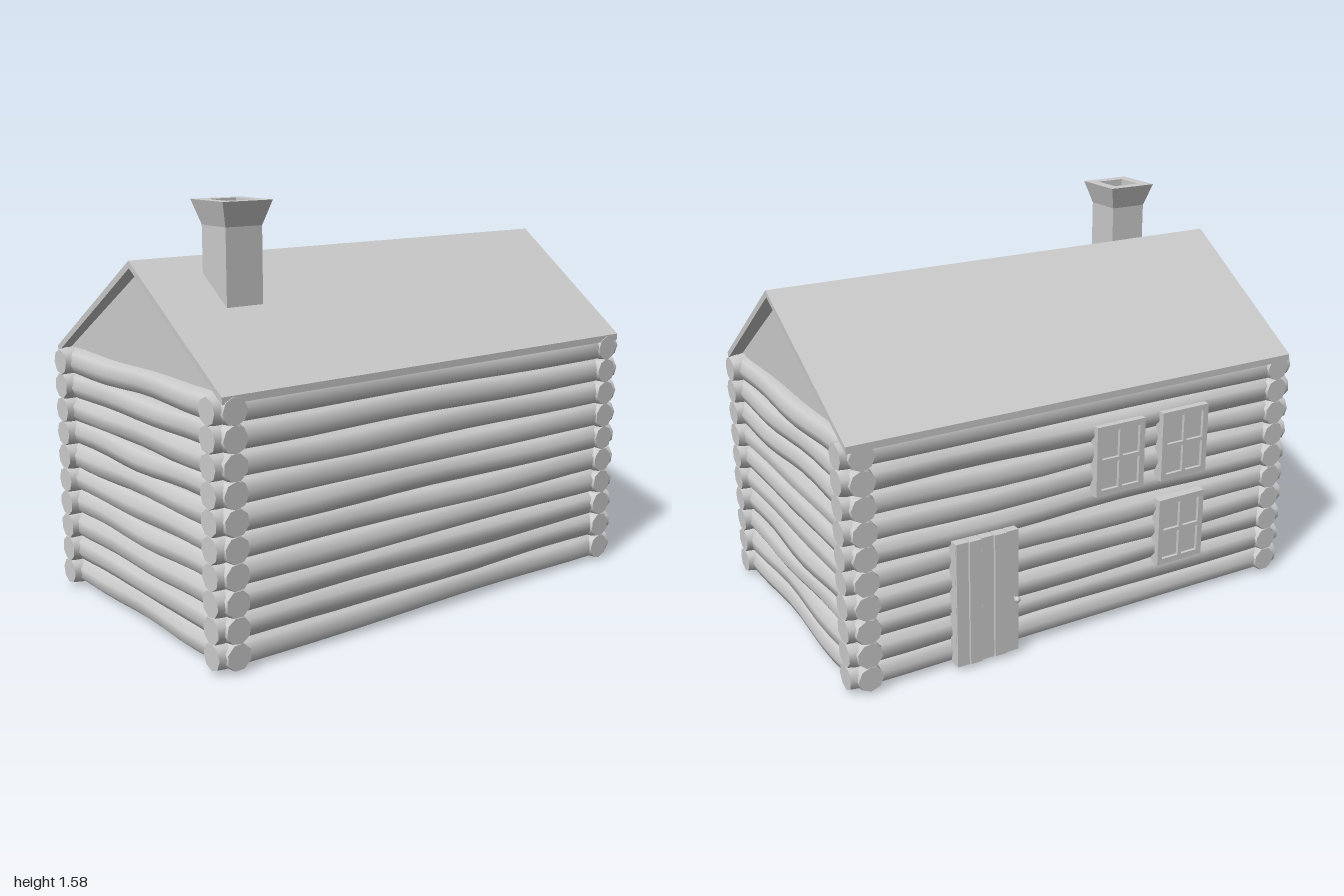
import * as THREE from 'three';
import { toCreasedNormals } from 'three/addons/utils/BufferGeometryUtils.js';

const material = new THREE.MeshStandardMaterial({ color: 0xcccccc, side: THREE.DoubleSide });

function add(parent, name, geometry, x = 0, y = 0, z = 0) {
  const mesh = new THREE.Mesh(geometry, material);
  mesh.name = name;
  mesh.position.set(x, y, z);
  parent.add(mesh);
  return mesh;
}

let seed = 7;
function random() {
  seed = (seed * 16807) % 2147483647;
  return seed / 2147483647;
}

// Eight-sided log along y with bevelled ends and a slight wobble
function logGeometry(length) {
  const rings = 12;
  const geometry = new THREE.CylinderGeometry(1, 1, 2, 8, rings, false, random() * 6.28);
  const p = geometry.attributes.position;
  const [a, b, c] = [random() * 6.28, random() * 6.28, random() * 6.28];
  const half = length / 2;
  for (let i = 0; i < p.count; i++) {
    const ring = Math.round((p.getY(i) + 1) * rings / 2);
    const atEnd = ring === 0 || ring === rings;
    const t = atEnd ? p.getY(i) : ((ring - 1) / (rings - 2) * 2 - 1) * (1 - 0.03 / half);
    const radius = atEnd ? 0.05 : 0.0545 + 0.002 * Math.sin(4 * t + a);
    const fade = 1 - t * t;
    p.setXYZ(i,
      p.getX(i) * radius + 0.006 * fade * Math.sin(4 * t + b),
      t * half,
      p.getZ(i) * radius + 0.006 * fade * Math.sin(5 * t + c));
  }
  return toCreasedNormals(geometry, 0.9);
}

function buildWalls() {
  const walls = new THREE.Group();
  walls.name = 'logWalls';
  for (let row = 0; row < 10; row++) {
    const y = 0.063 + row * 0.0957;
    for (const [name, z] of [['frontLog', 0.56], ['backLog', -0.503]])
      add(walls, name, logGeometry(1.99).rotateZ(Math.PI / 2), 0, y, z);
    for (const [name, x] of [['leftLog', 0.92], ['rightLog', -0.92]])
      add(walls, name, logGeometry(1.185).rotateX(Math.PI / 2), x, y, 0.028);
  }
  return walls;
}

function polygon(points) {
  return new THREE.Shape(points.map(([x, y]) => new THREE.Vector2(x, y)));
}

function buildRoof() {
  const roof = new THREE.Group();
  roof.name = 'roof';
  // Chevron slab, slightly longer at the ridge than at the eaves
  const chevron = polygon([[-0.618, 0.978], [-0.618, 0.952], [-0.06, 1.345],
    [0.568, 0.952], [0.568, 0.978], [-0.06, 1.372]]);
  const slab = new THREE.ExtrudeGeometry(chevron, { depth: 2, bevelEnabled: false });
  slab.translate(0, 0, -1).rotateY(Math.PI / 2);
  const p = slab.attributes.position;
  for (let i = 0; i < p.count; i++) {
    const rise = (p.getY(i) - 0.97) / 0.4;
    p.setX(i, p.getX(i) * (0.975 + 0.018 * rise) + 0.005);
  }
  slab.computeVertexNormals();
  add(roof, 'roofSlab', slab);

  // Gable triangles set back under the roof ends
  const gable = polygon([[-0.6, 0.92], [0.55, 0.92], [0.55, 0.963], [-0.06, 1.347], [-0.6, 0.963]]);
  for (const side of [1, -1]) {
    const wall = new THREE.ExtrudeGeometry(gable, { depth: 0.02, bevelEnabled: false });
    add(roof, side > 0 ? 'leftGable' : 'rightGable',
      wall.translate(0, 0, -0.01).rotateY(Math.PI / 2), side * 0.92);
  }
  return roof;
}

// Square flared chimney with an open flue
function chimneyGeometry() {
  const profile = [[0.077, 1.15], [0.077, 1.49], [0.105, 1.58], [0.06, 1.58], [0.06, 1.3], [0, 1.3]]
    .map(([r, y]) => new THREE.Vector2(r * Math.SQRT2, y));
  const geometry = new THREE.LatheGeometry(profile, 4, Math.PI / 4).toNonIndexed();
  geometry.computeVertexNormals();
  return geometry;
}

function buildDoor() {
  const door = new THREE.Group();
  door.name = 'door';
  const depths = [0.592, 0.597, 0.591, 0.598, 0.594];
  const width = 0.265 / depths.length;
  depths.forEach((back, i) => add(door, 'doorPlank',
    new THREE.BoxGeometry(width - 0.004, 0.505, back - 0.54),
    0.32 + width * (i + 0.5), 0.273, -(back + 0.54) / 2));
  add(door, 'doorBacking', new THREE.BoxGeometry(0.262, 0.5, 0.046), 0.4525, 0.273, -0.563);
  // Knob on a short stem
  add(door, 'knobStem', new THREE.CylinderGeometry(0.005, 0.005, 0.03, 8).rotateX(Math.PI / 2),
    0.338, 0.245, -0.6);
  add(door, 'knob', new THREE.SphereGeometry(0.012, 10, 8), 0.338, 0.245, -0.611);
  return door;
}

function buildWindow(x, y) {
  const group = new THREE.Group();
  group.name = 'window';
  const [w, h, border, bar] = [0.22, 0.285, 0.024, 0.016];
  const frame = polygon([[-w / 2, -h / 2], [w / 2, -h / 2], [w / 2, h / 2], [-w / 2, h / 2]]);
  const paneW = (w - 2 * border - bar) / 2;
  const paneH = (h - 2 * border - bar) / 2;
  for (const sx of [-1, 1]) for (const sy of [-1, 1]) {
    const cx = sx * (paneW + bar) / 2, cy = sy * (paneH + bar) / 2;
    frame.holes.push(polygon([[cx - paneW / 2, cy - paneH / 2], [cx - paneW / 2, cy + paneH / 2],
      [cx + paneW / 2, cy + paneH / 2], [cx + paneW / 2, cy - paneH / 2]]));
  }
  add(group, 'windowFrame',
    new THREE.ExtrudeGeometry(frame, { depth: 0.045, bevelEnabled: false }), 0, 0, -0.58);
  add(group, 'windowPane', new THREE.BoxGeometry(w - border, h - border, 0.026), 0, 0, -0.554);
  group.position.set(x, y, 0);
  return group;
}

export function createModel() {
  const cabin = new THREE.Group();
  cabin.name = 'logCabin';
  cabin.add(buildWalls(), buildRoof(), buildDoor());
  add(cabin, 'chimney', chimneyGeometry(), -0.655, 0, 0.215);
  for (const [x, y] of [[-0.14, 0.705], [-0.445, 0.705], [-0.445, 0.335]])
    cabin.add(buildWindow(x, y));
  return cabin;
}
